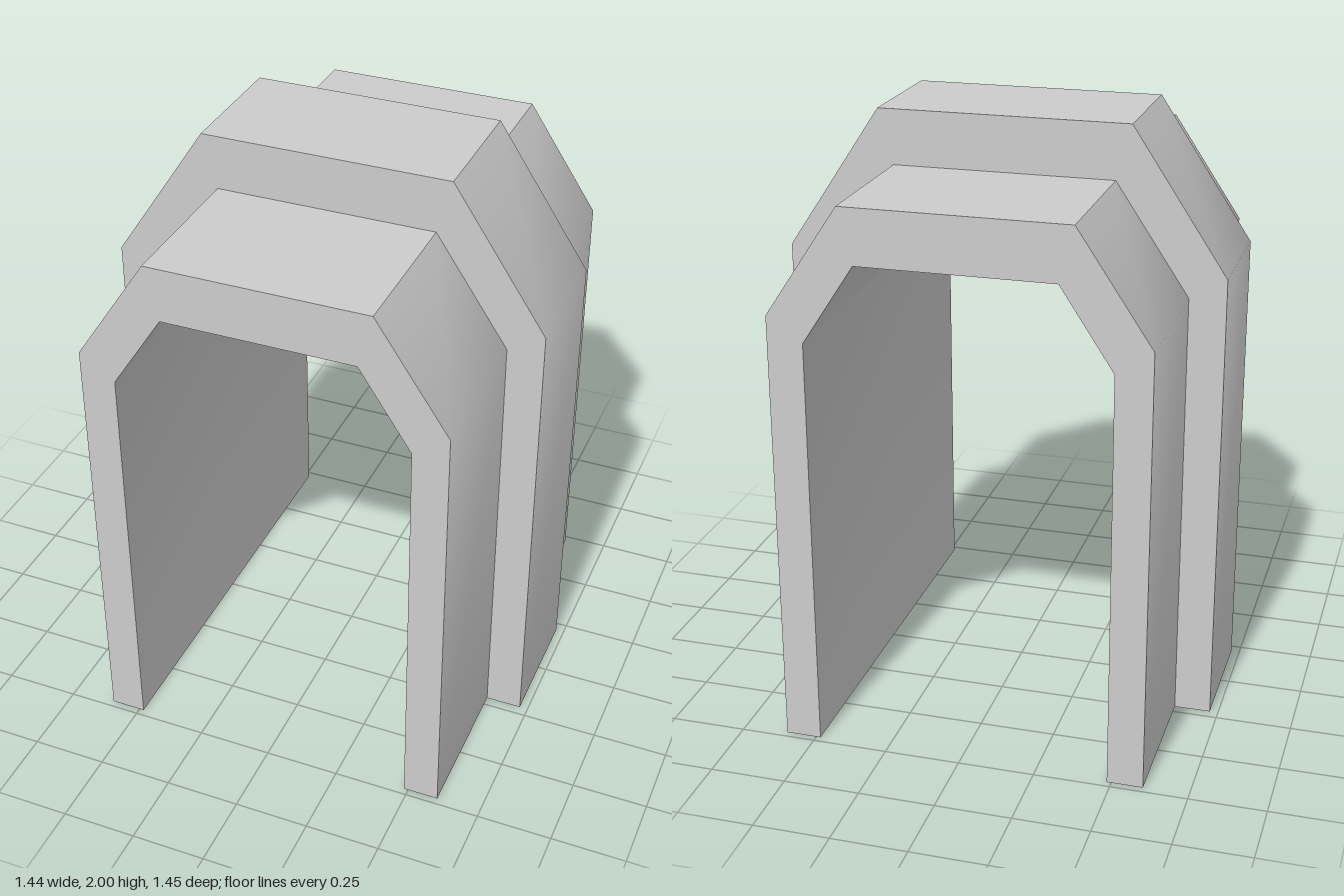
import * as THREE from 'three';
import { toCreasedNormals } from 'three/addons/utils/BufferGeometryUtils.js';

// Half arch outlines from the foot to the crown [x, y], mirrored to a full arch.
function archPath(half) {
  const left = half.map(([x, y]) => [-x, y]).reverse();
  return [...half, ...left];
}

const inner = archPath([[0.485, 0], [0.485, 1.38], [0.315, 1.64]]);
const wall = archPath([[0.602, 0], [0.602, 1.46], [0.362, 1.82]]);
const band = archPath([[0.722, 0], [0.722, 1.53], [0.411, 2]]);

const HALF_LENGTH = 0.727;
const HALF_BAND = 0.217;

// Closed wall section: each corner is an arch outline at a depth z.
const section = [
  [wall, HALF_LENGTH], [wall, HALF_BAND],
  [band, HALF_BAND], [band, -HALF_BAND],
  [wall, -HALF_BAND], [wall, -HALF_LENGTH],
  [inner, -HALF_LENGTH], [inner, HALF_LENGTH],
];

function buildArchGeometry() {
  const positions = [];
  const push = (i, j) => {
    const [path, z] = section[i % section.length];
    positions.push(path[j][0], path[j][1], z);
  };
  const last = inner.length - 1;

  // Sweep the section over the arch.
  for (let j = 0; j < last; j++) {
    for (let i = 0; i < section.length; i++) {
      push(i, j); push(i + 1, j); push(i + 1, j + 1);
      push(i, j); push(i + 1, j + 1); push(i, j + 1);
    }
  }

  // Undersides of the two feet.
  const foot = [[7, 0, 1], [7, 1, 4], [7, 4, 6], [4, 5, 6], [1, 2, 3], [1, 3, 4]];
  for (const [a, b, c] of foot) {
    push(a, 0); push(c, 0); push(b, 0);
    push(a, last); push(b, last); push(c, last);
  }

  const geometry = new THREE.BufferGeometry();
  geometry.setAttribute('position', new THREE.Float32BufferAttribute(positions, 3));
  // Soft bend from wall to shoulder, sharp edges elsewhere.
  return toCreasedNormals(geometry, 0.8);
}

export function createModel() {
  const stone = new THREE.MeshStandardMaterial({ color: 0xcccccc });
  stone.name = 'light grey';

  const arch = new THREE.Mesh(buildArchGeometry(), stone);
  arch.name = 'archWithRaisedBand';

  const model = new THREE.Group();
  model.name = 'archTunnel';
  model.add(arch);
  return model;
}
